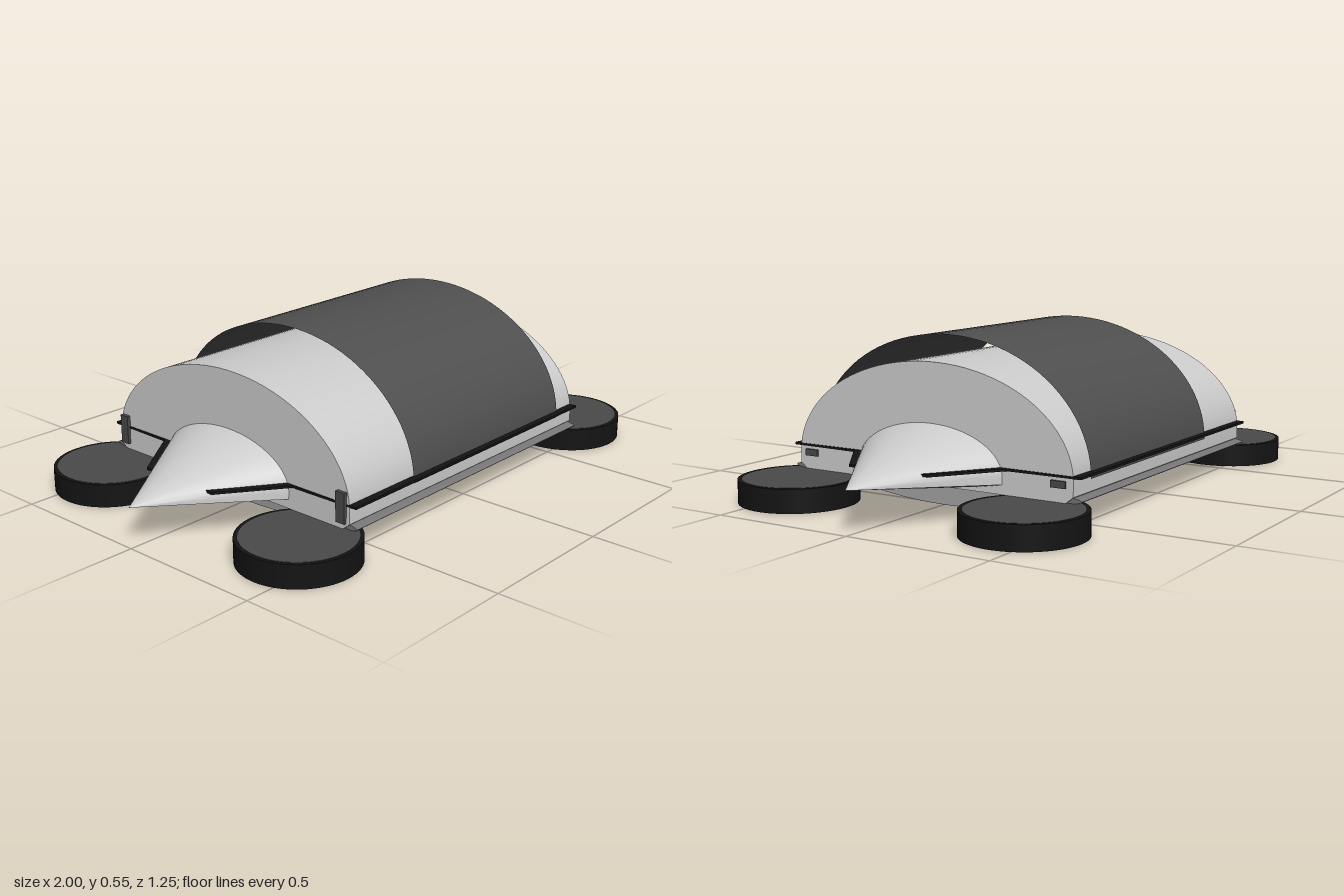
import * as THREE from 'three';
import { toCreasedNormals, mergeVertices } from 'three/addons/utils/BufferGeometryUtils.js';

const mat = (color, side = THREE.FrontSide) => new THREE.MeshStandardMaterial({ color, side });
const grey = mat(0xcccccc), black = mat(0x141414), dark = mat(0x4a4a4a), mid = mat(0x777777);
const coverMat = mat(0x4f4f4f, THREE.DoubleSide);

function add(parent, name, geometry, material, x = 0, y = 0, z = 0) {
  const mesh = new THREE.Mesh(geometry, material);
  mesh.name = name;
  mesh.position.set(x, y, z);
  parent.add(mesh);
  return mesh;
}

// Upper half of an ellipse as [z, y] points, from +z over the top to -z
function arch(rz, ry, cy, n = 48) {
  return Array.from({ length: n + 1 }, (_, i) => {
    const t = Math.PI * i / n;
    return [rz * Math.cos(t), cy + ry * Math.sin(t)];
  });
}

// Shallow belly as [z, y] points, from -z to +z
function belly(rz, yLow, yHigh, n = 24) {
  return Array.from({ length: n + 1 }, (_, i) => {
    const s = 2 * i / n - 1;
    return [rz * s, yLow + (yHigh - yLow) * s * s];
  });
}

// Skin rings of points along +x; closed rings also get end caps
function loft(rings, closed = true) {
  const n = rings[0].length, pos = [], idx = [];
  rings.forEach(r => r.forEach(p => pos.push(...p)));
  for (let i = 0; i < rings.length - 1; i++) {
    for (let j = 0; j < (closed ? n : n - 1); j++) {
      const k = (j + 1) % n, a = i * n + j, b = i * n + k, d = a + n, c = b + n;
      idx.push(a, d, b, d, c, b);
    }
  }
  if (closed) {
    [0, rings.length - 1].forEach((ri, end) => {
      const centre = pos.length / 3, sum = [0, 0, 0];
      rings[ri].forEach(p => p.forEach((v, k) => { sum[k] += v / n; }));
      pos.push(...sum);
      for (let j = 0; j < n; j++) {
        const a = ri * n + j, b = ri * n + (j + 1) % n;
        idx.push(centre, end ? b : a, end ? a : b);
      }
    });
  }
  const g = new THREE.BufferGeometry();
  g.setAttribute('position', new THREE.Float32BufferAttribute(pos, 3));
  g.setIndex(idx);
  return toCreasedNormals(mergeVertices(g, 1e-6), 0.5);
}

// Extrude a [z, y] profile along x, with a half length that depends on y
const span = (profile, half) =>
  loft([-1, 1].map(s => profile.map(([z, y]) => [s * half(y), y, z])));

export function createModel() {
  const model = new THREE.Group();
  model.name = 'vehicle';

  // Arched body with slightly leaning end walls
  const bodyProfile = [...arch(0.525, 0.327, 0.14), [-0.525, 0.1], [-0.5, 0.08], [0.5, 0.08], [0.525, 0.1]];
  add(model, 'body', span(bodyProfile, y => 0.598 - (y - 0.08) * 0.035), grey);

  // Shallow curved underside
  const hullProfile = [[0.5, 0.086], [-0.5, 0.086], ...belly(0.5, 0, 0.082)];
  add(model, 'hull', span(hullProfile, y => 0.515 + y * 0.3), grey);

  // Thin open cover over the arch
  const coverProfile = arch(0.53, 0.405, 0.14);
  add(model, 'cover', loft([-0.3, 0.5].map(x => coverProfile.map(([z, y]) => [x, y, z])), false), coverMat);

  // Flat trim plate around the body and along the nose cones
  const quarter = [[0.595, 0.55], [0.6, 0.295], [0.8, 0.15]];
  const back = [...quarter].reverse();
  const outline = [
    ...quarter, ...back.map(([x, z]) => [x, -z]),
    ...quarter.map(([x, z]) => [-x, -z]), ...back.map(([x, z]) => [-x, z]),
  ].map(([x, z]) => new THREE.Vector2(x, z));
  const trim = new THREE.ExtrudeGeometry(new THREE.Shape(outline), { depth: 0.008, bevelEnabled: false });
  trim.rotateX(Math.PI / 2);
  add(model, 'trimPlate', trim, black, 0, 0.163, 0);

  // Pointed cone with a flattened belly at each end
  const coneProfile = [...arch(0.28, 0.145, 0.13), ...belly(0.28, 0.08, 0.11)];
  const tip = [1, 0.135, 0];
  const coneRings = [0, 0.25, 0.5, 0.75, 0.999].map(t => coneProfile.map(([z, y]) =>
    [0.59 + (tip[0] - 0.59) * t, y + (tip[1] - y) * t, z * (1 - t)]));
  const coneGeo = loft(coneRings);
  for (const s of [1, -1]) {
    const cone = add(model, s > 0 ? 'leftCone' : 'rightCone', coneGeo, grey);
    cone.rotation.y = s > 0 ? 0 : Math.PI;
  }

  for (const sz of [1, -1]) {
    // Flattened side skirt below the body edge
    const skirt = new THREE.CylinderGeometry(1, 1, 1.18, 32);
    skirt.rotateZ(Math.PI / 2);
    skirt.scale(1, 0.014, 0.13);
    add(model, 'sideSkirt', skirt, mid, 0, 0.088, sz * 0.42);

    // Small lamps at one end, upright ones at the other
    add(model, 'headLamp', new THREE.BoxGeometry(0.02, 0.022, 0.05), dark, 0.593, 0.135, sz * 0.475);
    add(model, 'tailLamp', new THREE.BoxGeometry(0.025, 0.1, 0.035), dark, -0.594, 0.15, sz * 0.495);

    // Flat-lying wheels with a dark disc on both faces
    for (const sx of [1, -1]) {
      const wheel = new THREE.Group();
      wheel.name = 'wheel';
      wheel.position.set(sx * 0.715, 0.04, sz * 0.43);
      add(wheel, 'tyre', new THREE.CylinderGeometry(0.195, 0.195, 0.078, 64), black);
      add(wheel, 'disc', new THREE.CylinderGeometry(0.182, 0.182, 0.08, 64), dark);
      model.add(wheel);
    }
  }
  return model;
}
